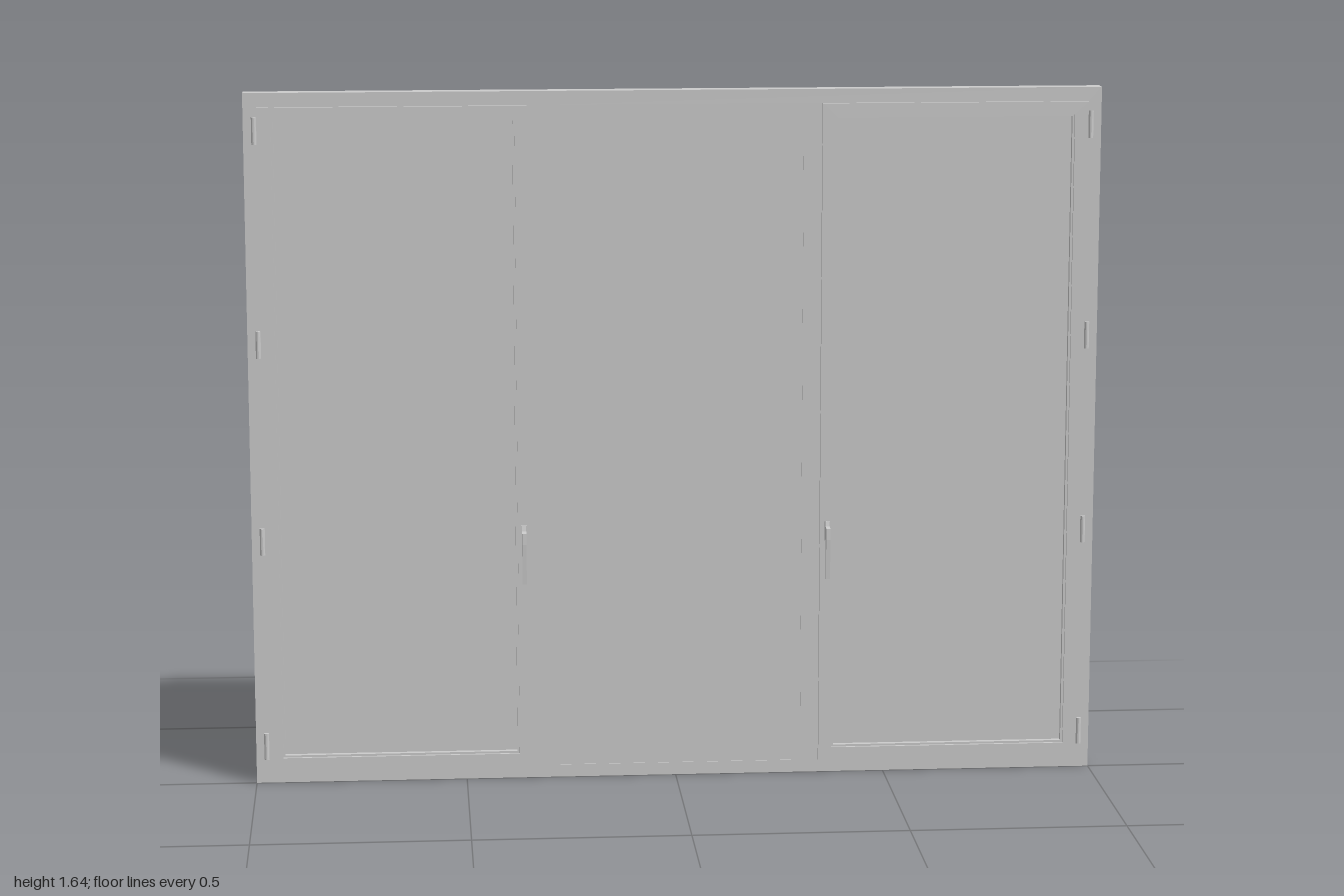
import * as THREE from 'three';

const W = 2, H = 1.645, FRONT = 0, BACK = -0.038;
const SASH = { x0: 0.343, x1: 0.968, y0: 0.03, y1: 1.612 };
const mat = new THREE.MeshStandardMaterial({ color: 0xcccccc, flatShading: true });

function rectPoints(x0, x1, y0, y1) {
  return [[x0, y0], [x1, y0], [x1, y1], [x0, y1]].map(([x, y]) => new THREE.Vector2(x, y));
}

// Rectangular plate with rectangular holes, spanning z0..z1
function plate(name, outer, holes, z0, z1) {
  const shape = new THREE.Shape(rectPoints(...outer));
  for (const h of holes) shape.holes.push(new THREE.Path(rectPoints(...h)));
  const geo = new THREE.ExtrudeGeometry(shape, { depth: z1 - z0, bevelEnabled: false });
  geo.translate(0, 0, z0);
  const mesh = new THREE.Mesh(geo, mat);
  mesh.name = name;
  return mesh;
}

function box(name, w, h, d, x, y, z) {
  const mesh = new THREE.Mesh(new THREE.BoxGeometry(w, h, d), mat);
  mesh.name = name;
  mesh.position.set(x, y, z);
  return mesh;
}

// Rosette, neck and hanging lever, drawn as a side profile in (z, y)
function makeHandle(x) {
  const handle = new THREE.Group();
  handle.name = 'handle';
  handle.add(box('rosette', 0.014, 0.062, 0.006, x, 0.588, 0.013));
  const profile = [
    [0.014, 0.575], [0.014, 0.62], [0.019, 0.62], [0.022, 0.608], [0.042, 0.606],
    [0.043, 0.58], [0.037, 0.483], [0.030, 0.483], [0.028, 0.56], [0.024, 0.578],
  ];
  const geo = new THREE.ExtrudeGeometry(
    new THREE.Shape(profile.map(([z, y]) => new THREE.Vector2(z, y))),
    { depth: 0.01, bevelEnabled: false });
  geo.rotateY(-Math.PI / 2); // profile z axis to world +z
  geo.translate(x + 0.005, 0, 0);
  const lever = new THREE.Mesh(geo, mat);
  lever.name = 'lever';
  handle.add(lever);
  return handle;
}

// One hinged door leaf; side is +1 (left) or -1 (right)
function makeDoor(side) {
  const door = new THREE.Group();
  door.name = side > 0 ? 'leftDoor' : 'rightDoor';
  const span = (a, b) => side > 0 ? [a, b] : [-b, -a];
  const { x0, x1, y0, y1 } = SASH;
  const back = side > 0 ? -0.042 : BACK + 0.001;
  const opening = [...span(0.374, 0.936), 0.062, 1.582];
  const bead = [...span(0.379, 0.931), 0.067, 1.577];

  door.add(plate('sash', [...span(x0, x1), y0, y1], [opening], back, 0.01));
  door.add(plate('glazingBead', opening, [bead], -0.032, 0.004));
  door.add(plate('glass', bead, [], -0.023, -0.008));

  // Hinges along the outer edge
  for (const y of [0.09, 0.588, 1.058, 1.558]) {
    const hinge = new THREE.Mesh(new THREE.CylinderGeometry(0.006, 0.006, 0.064, 12), mat);
    hinge.name = 'hinge';
    hinge.position.set(side * 0.975, y, 0.003);
    door.add(hinge);
  }
  door.add(makeHandle(side * 0.36));
  return door;
}

export function createModel() {
  const model = new THREE.Group();
  model.name = 'doubleDoorWindow';
  const { x0, x1, y0, y1 } = SASH;
  const middle = [-0.3, 0.3, y0, y1];

  // Outer frame with openings for both leaves and the fixed middle pane
  model.add(plate('outerFrame', [-W / 2, W / 2, 0, H],
    [[-x1, -x0, y0, y1], [x0, x1, y0, y1], middle], BACK, FRONT));
  model.add(plate('middlePanel', middle, [], BACK + 0.002, FRONT - 0.002));

  for (const side of [-1, 1]) model.add(makeDoor(side));
  return model;
}
